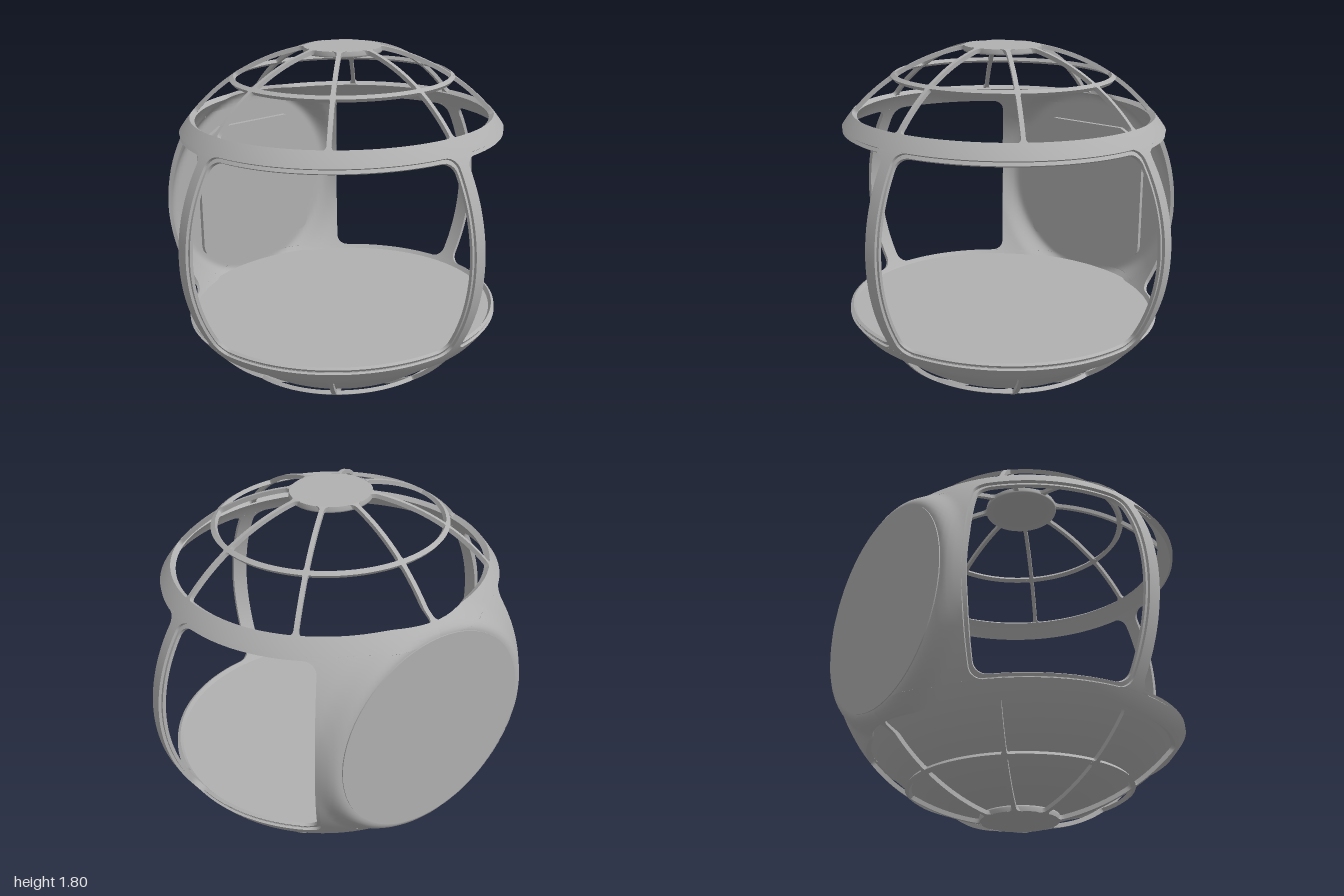
import * as THREE from 'three';
import { mergeGeometries } from 'three/addons/utils/BufferGeometryUtils.js';

const CX = -0.065, CY = 0.9;              // centre of the pod
const RX = 0.95, RY = 0.92;               // ellipsoid radii (z radius is 1)
const DOCK_X = -0.885, DOCK_R = 0.515;    // flat docking face on the -x side
const TOP = 0.9026, EDGE = 0.9965, LIP = 1.016;   // polar angles of band and window edges
const RING = 0.605, CAP = 0.2;

// Point on the pod: theta 0 is +x, phi 0 is up, s scales the skin inwards
function skin(theta, phi, s) {
  const y = CY + RY * s * Math.cos(phi);
  const z = s * Math.sin(phi) * Math.sin(theta);
  let x = CX + RX * s * Math.sin(phi) * Math.cos(theta);
  if (x < -0.4) {
    const k = 1 - THREE.MathUtils.smoothstep(Math.hypot(y - CY, z), DOCK_R, 0.61);
    x = THREE.MathUtils.lerp(x, DOCK_X + (1 - s) * RX, k);
  }
  return [x, y, z];
}

// Grid surface facing along da x db
function surface(f, na, nb) {
  const pos = [], index = [];
  for (let j = 0; j <= nb; j++) for (let i = 0; i <= na; i++) pos.push(...f(i / na, j / nb));
  for (let j = 0; j < nb; j++) for (let i = 0; i < na; i++) {
    const a = j * (na + 1) + i, c = a + na + 1;
    index.push(a, a + 1, c, a + 1, c + 1, c);
  }
  const g = new THREE.BufferGeometry();
  g.setAttribute('position', new THREE.Float32BufferAttribute(pos, 3));
  g.setIndex(index);
  g.computeVertexNormals();
  return g;
}

// Curved slab on the skin between two polar angles, six crisp sides
function slab(theta, halfAngle, p0, p1, s0, s1, nu, nv) {
  const P = (u, v, s) => {
    const phi = p0 + (p1 - p0) * (1 - Math.cos(Math.PI * v)) / 2;
    return skin(theta + (2 * u - 1) * halfAngle(phi), phi, s0 + (s1 - s0) * s);
  };
  return mergeGeometries([
    surface((a, b) => P(a, b, 1), nu, nv),
    surface((a, b) => P(1 - a, b, 0), nu, nv),
    surface((a, b) => P(1, a, b), nv, 1),
    surface((a, b) => P(0, b, a), 1, nv),
    surface((a, b) => P(a, 0, b), nu, 1),
    surface((a, b) => P(b, 1, a), 1, nu),
  ]);
}

// Bar half angle: given width plus rounded fillets at both ends
function filleted(width, radius, p0, p1) {
  return (phi) => {
    const d = Math.max(0, Math.min(phi - p0, p1 - phi));
    const extra = d < radius ? radius - Math.sqrt(radius * radius - (radius - d) ** 2) : 0;
    return (width + extra) / Math.sin(phi);
  };
}

export function createModel() {
  const model = new THREE.Group();
  model.name = 'observationPod';
  const grey = new THREE.MeshStandardMaterial({ color: 0xb0b0b0 });
  grey.name = 'hull grey';
  const add = (name, geometry) => {
    const m = new THREE.Mesh(geometry, grey);
    m.name = name;
    model.add(m);
    return m;
  };
  const full = () => Math.PI;
  // The outer frame layer and the slightly wider window lip behind it
  const layers = [
    { name: 'Frame', edge: EDGE, s0: 0.985, s1: 1, post: 0.031, wall: 0.64 },
    { name: 'Lip', edge: LIP, s0: 0.968, s1: 0.985, post: 0.044, wall: 0.66 },
  ];

  for (const { name, edge, s0, s1, post, wall } of layers) {
    const e0 = edge, e1 = Math.PI - edge;
    // Bands above and below the windows
    add('upperBand' + name, slab(0, full, TOP, edge, s0, s1, 128, 6));
    add('lowerBand' + name, slab(0, full, Math.PI - edge, Math.PI - TOP, s0, s1, 128, 6));
    // Front, left and back window posts
    [Math.PI / 2, 0, -Math.PI / 2].forEach((t, i) =>
      add(['front', 'left', 'back'][i] + 'Post' + name,
        slab(t, filleted(post, 0.065, e0, e1), e0, e1, s0, s1, 4, 48)));
    // Solid wall on the docking side
    const fillet = filleted(0, 0.065, e0, e1);
    add('dockingWall' + name,
      slab(Math.PI, (p) => wall + fillet(p), e0, e1, s0, s1, 48, 48));
  }

  // Round docking face
  const dock = add('dockingFace', new THREE.CylinderGeometry(DOCK_R, DOCK_R, 0.03, 64));
  dock.rotation.z = Math.PI / 2;
  dock.position.set(-0.875, CY, 0);

  // Door inside the docking wall, chamfered above and rounded below
  const door = new THREE.Shape();
  door.moveTo(-0.32, -0.36);
  door.lineTo(0.32, -0.36);
  door.quadraticCurveTo(0.38, -0.36, 0.38, -0.29);
  door.lineTo(0.38, 0.3);
  door.lineTo(0.23, 0.38);
  door.lineTo(-0.23, 0.38);
  door.lineTo(-0.38, 0.3);
  door.lineTo(-0.38, -0.29);
  door.quadraticCurveTo(-0.38, -0.36, -0.32, -0.36);
  const doorMesh = add('innerDoor', new THREE.ExtrudeGeometry(door, { depth: 0.03, bevelEnabled: false }));
  doorMesh.rotation.y = Math.PI / 2;
  doorMesh.position.set(-0.86, CY, 0);

  // Floor and closed bowl beneath it
  const floor = add('floor', new THREE.CylinderGeometry(0.83, 0.83, 0.02, 96));
  floor.scale.x = RX;
  floor.position.set(CX, 0.4, 0);
  const bowl = add('lowerBowl',
    new THREE.SphereGeometry(0.967, 96, 24, 0, Math.PI * 2, Math.PI - 0.96, 0.96));
  bowl.scale.set(RX, RY, 1);
  bowl.position.set(CX, CY, 0);

  // Rib cages of the dome and the bowl
  for (const lower of [false, true]) {
    const prefix = lower ? 'lower' : 'upper';
    const span = (a, b) => (lower ? [Math.PI - b, Math.PI - a] : [a, b]);
    for (let i = 0; i < 8; i++) {
      for (const [a, b] of [[CAP, RING], [RING, TOP + 0.005]]) {
        const [p0, p1] = span(a, b);
        add(prefix + 'Rib', slab(i * Math.PI / 4, filleted(0.011, 0.026, p0, p1), p0, p1, 0.977, 1, 2, 24));
      }
    }
    const [r0, r1] = span(RING - 0.013, RING + 0.013);
    add(prefix + 'Ring', slab(0, full, r0, r1, 0.978, 1, 96, 2));
    // Pole plate, dished towards the inside
    const plate = add(prefix + 'PolePlate', new THREE.LatheGeometry([
      [0, -0.012], [0.1, -0.014], [0.16, -0.02], [0.185, -0.028], [0.2, -0.028],
      [0.203, -0.02], [0.2, 0], [0.2, 0], [0, 0],
    ].map(([x, y]) => new THREE.Vector2(x, y)), 64));
    plate.scale.x = RX;
    plate.position.set(CX, lower ? 0 : 1.8, 0);
    if (lower) plate.rotation.x = Math.PI;
  }
  return model;
}
